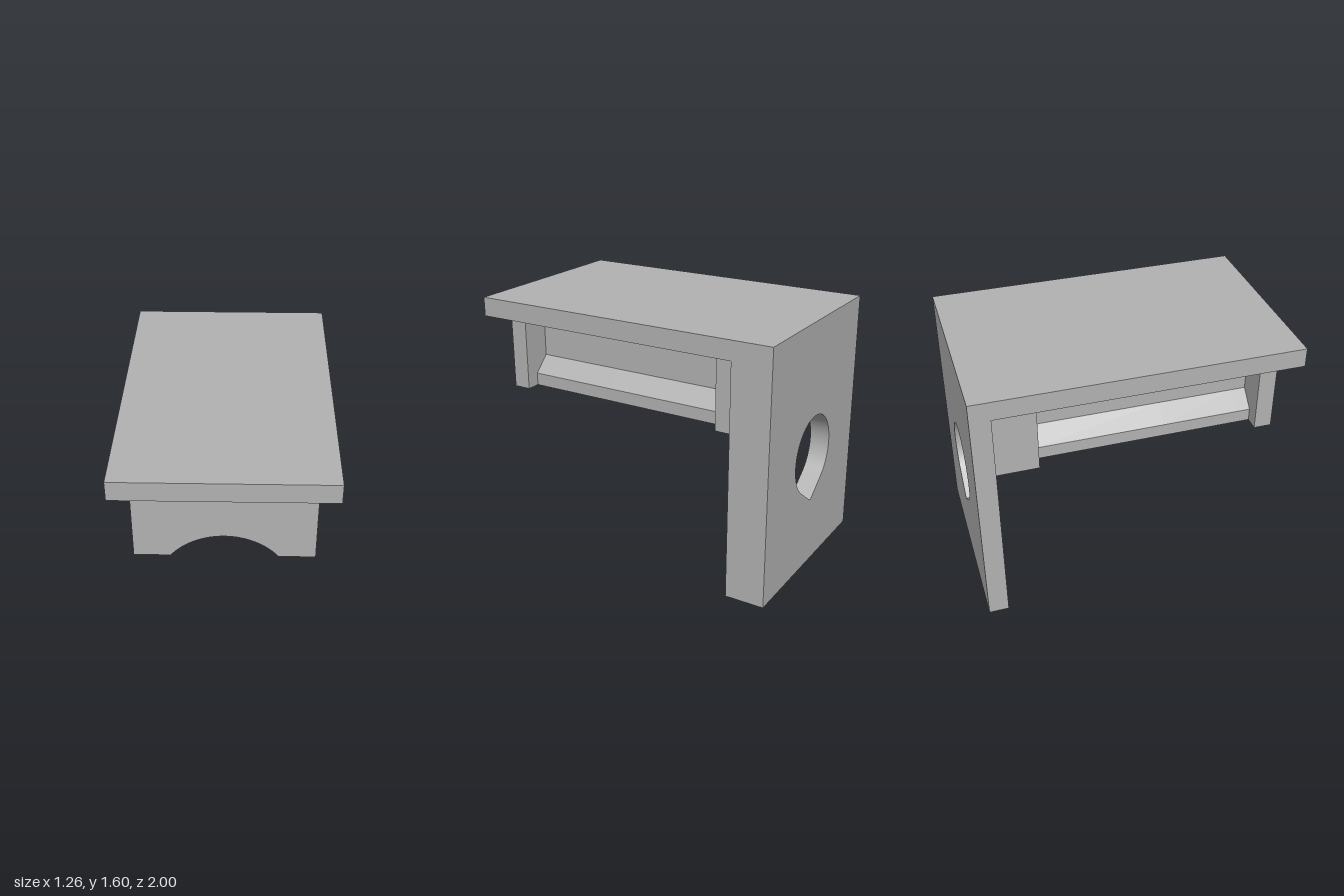
import * as THREE from 'three';
import { toCreasedNormals } from 'three/addons/utils/BufferGeometryUtils.js';

const HOLE_Y = 0.745; // shared axis of the hole and the arch
const BOTTOM = 1.0, UNDERSIDE = 1.48;

export function createModel() {
  const group = new THREE.Group();
  const grey = new THREE.MeshStandardMaterial({ color: 0xb2b2b2 });
  grey.name = 'grey';

  const add = (name, geometry) => {
    const mesh = new THREE.Mesh(geometry, grey);
    mesh.name = name;
    group.add(mesh);
    return mesh;
  };

  const box = (name, x0, x1, y0, y1, z0, z1) =>
    add(name, new THREE.BoxGeometry(x1 - x0, y1 - y0, z1 - z0))
      .position.set((x0 + x1) / 2, (y0 + y1) / 2, (z0 + z1) / 2);

  // Extrude a front-facing outline between two depths
  const slab = (name, shape, z0, z1) => {
    const geometry = new THREE.ExtrudeGeometry(shape, { depth: z1 - z0, bevelEnabled: false, curveSegments: 48 });
    geometry.translate(0, 0, z0);
    add(name, toCreasedNormals(geometry, 0.4));
  };

  // Symmetric outline with an arch cut from its underside; side lists right-hand points upward
  const archedShape = (side, radius) => {
    const a = Math.asin((BOTTOM - HOLE_Y) / radius);
    const shape = new THREE.Shape();
    shape.moveTo(radius * Math.cos(a), BOTTOM);
    side.forEach(([x, y]) => shape.lineTo(x, y));
    [...side].reverse().forEach(([x, y]) => shape.lineTo(-x, y));
    shape.lineTo(-radius * Math.cos(a), BOTTOM);
    shape.absarc(0, HOLE_Y, radius, Math.PI - a, a, true);
    return shape;
  };

  // Top plate
  box('topPlate', -0.63, 0.63, UNDERSIDE, 1.6, -1, 1);

  // Back wall with a teardrop hole
  const wall = new THREE.Shape();
  wall.moveTo(-0.63, 0);
  wall.lineTo(0.63, 0);
  wall.lineTo(0.63, UNDERSIDE);
  wall.lineTo(-0.63, UNDERSIDE);
  wall.closePath();
  const r = 0.252, tipY = 0.433;
  const t = Math.acos(r / (HOLE_Y - tipY)); // tangent angle from straight down
  const hole = new THREE.Path();
  hole.moveTo(0, tipY);
  hole.lineTo(r * Math.sin(t), HOLE_Y - r * Math.cos(t));
  hole.absarc(0, HOLE_Y, r, t - Math.PI / 2, Math.PI * 1.5 - t, false);
  hole.lineTo(0, tipY);
  wall.holes.push(hole);
  slab('backWall', wall, -1, -0.875);

  // Stiffening rib along one edge of the wall
  box('wallRib', 0.49, 0.63, 0, UNDERSIDE, -0.875, -0.75);

  // Wide end blocks
  const blockSide = [[0.52, BOTTOM], [0.52, UNDERSIDE]];
  slab('rearBlock', archedShape(blockSide, 0.4), -0.875, -0.6);
  slab('frontBlock', archedShape(blockSide, 0.4), 0.77, 0.88);

  // Narrow saddle with sloped ledges, slightly tighter in one stretch
  const saddleSide = [[0.43, BOTTOM], [0.43, 1.08], [0.33, 1.18], [0.33, UNDERSIDE]];
  [[-0.6, 0.2, 0.4], [0.2, 0.68, 0.385], [0.68, 0.77, 0.4]].forEach(([z0, z1, radius]) =>
    slab('saddle', archedShape(saddleSide, radius), z0, z1));

  return group;
}
